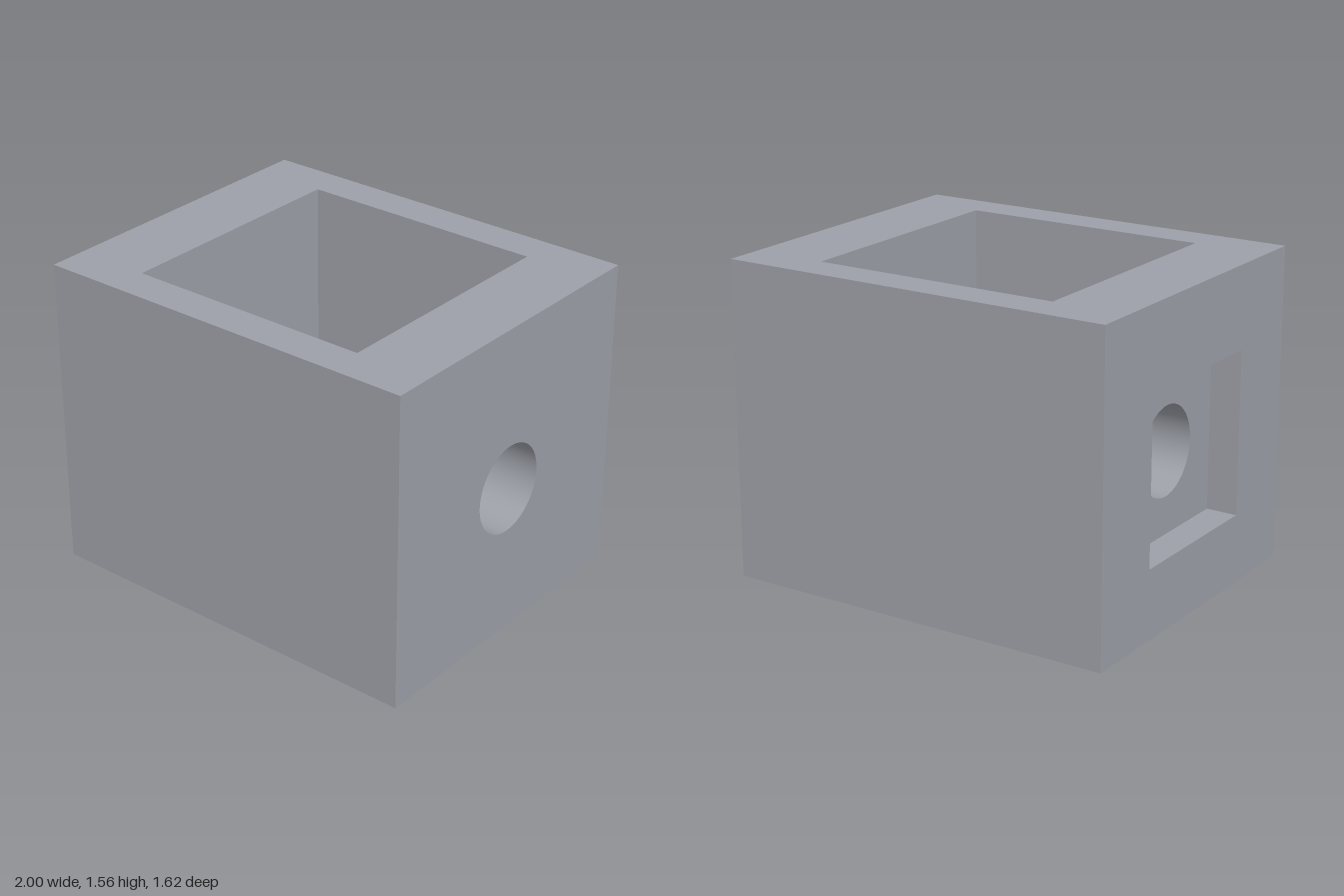
import * as THREE from 'three';

const L = 2, H = 1.5625, W = 1.625;       // block size in x, y, z
const CAVITY = 1.25;                      // square shaft through top and bottom
const BORE_R = 0.22, BORE_Y = 0.75;       // round bore along x
const POCKET = 0.8125, POCKET_D = 0.156;  // square recess on the -x side
const Q = Math.PI / 2;

const material = new THREE.MeshStandardMaterial({ color: 0x9da0a8 });

function squarePath(Type, w, h, y = 0) {
  const p = new Type();
  p.moveTo(-w / 2, y - h / 2);
  p.lineTo(w / 2, y - h / 2);
  p.lineTo(w / 2, y + h / 2);
  p.lineTo(-w / 2, y + h / 2);
  p.closePath();
  return p;
}

function roundPath(y) {
  return new THREE.Path().absarc(0, y, BORE_R, 0, Math.PI * 2, true);
}

// Flat face looking along +z, optionally pierced, then turned and placed
function addFace(parent, name, [w, h], hole, position, rx, ry) {
  const shape = squarePath(THREE.Shape, w, h);
  if (hole) shape.holes.push(hole);
  const mesh = new THREE.Mesh(new THREE.ShapeGeometry(shape, 32), material);
  mesh.name = name;
  mesh.position.set(...position);
  mesh.rotation.set(rx, ry, 0);
  parent.add(mesh);
}

// Inward-facing cylinder wall between two x positions
function addBore(parent, name, x0, x1) {
  const geo = new THREE.CylinderGeometry(BORE_R, BORE_R, x1 - x0, 64, 1, true);
  geo.scale(-1, 1, 1);
  const n = geo.attributes.normal;
  for (let i = 0; i < n.count; i++) n.setXYZ(i, -n.getX(i), -n.getY(i), -n.getZ(i));
  geo.rotateZ(Q);
  const mesh = new THREE.Mesh(geo, material);
  mesh.name = name;
  mesh.position.set((x0 + x1) / 2, BORE_Y, 0);
  parent.add(mesh);
}

export function createModel() {
  const model = new THREE.Group();
  model.name = 'hollowBlock';
  const mid = H / 2, drop = BORE_Y - mid, c = CAVITY / 2;
  const floorX = -L / 2 + POCKET_D;

  // Top and bottom rims around the shaft
  addFace(model, 'topRim', [L, W], squarePath(THREE.Path, CAVITY, CAVITY), [0, H, 0], -Q, 0);
  addFace(model, 'bottomRim', [L, W], squarePath(THREE.Path, CAVITY, CAVITY), [0, 0, 0], Q, 0);

  // Outer walls
  addFace(model, 'frontWall', [L, H], null, [0, mid, W / 2], 0, 0);
  addFace(model, 'backWall', [L, H], null, [0, mid, -W / 2], 0, Math.PI);
  addFace(model, 'boredSideWall', [W, H], roundPath(drop), [L / 2, mid, 0], 0, Q);
  addFace(model, 'recessedSideWall', [W, H], squarePath(THREE.Path, POCKET, POCKET, drop),
    [-L / 2, mid, 0], 0, -Q);

  // Shaft walls, facing inward
  const shaft = new THREE.Group();
  shaft.name = 'shaft';
  model.add(shaft);
  addFace(shaft, 'shaftFront', [CAVITY, H], null, [0, mid, c], 0, Math.PI);
  addFace(shaft, 'shaftBack', [CAVITY, H], null, [0, mid, -c], 0, 0);
  for (const s of [-1, 1]) {
    addFace(shaft, 'shaftSide', [CAVITY, H], roundPath(drop), [s * c, mid, 0], 0, -s * Q);
  }

  // Square recess: floor and four sides
  const recess = new THREE.Group();
  recess.name = 'recess';
  model.add(recess);
  addFace(recess, 'recessFloor', [POCKET, POCKET], roundPath(0), [floorX, BORE_Y, 0], 0, -Q);
  const px = -L / 2 + POCKET_D / 2;
  for (const s of [-1, 1]) {
    addFace(recess, 'recessCheek', [POCKET_D, POCKET], null,
      [px, BORE_Y, s * POCKET / 2], 0, s > 0 ? Math.PI : 0);
    addFace(recess, 'recessLedge', [POCKET_D, POCKET], null,
      [px, BORE_Y + s * POCKET / 2, 0], s * Q, 0);
  }

  // Bores through both side walls
  addBore(model, 'recessBore', floorX, -c);
  addBore(model, 'sideBore', c, L / 2);
  return model;
}
